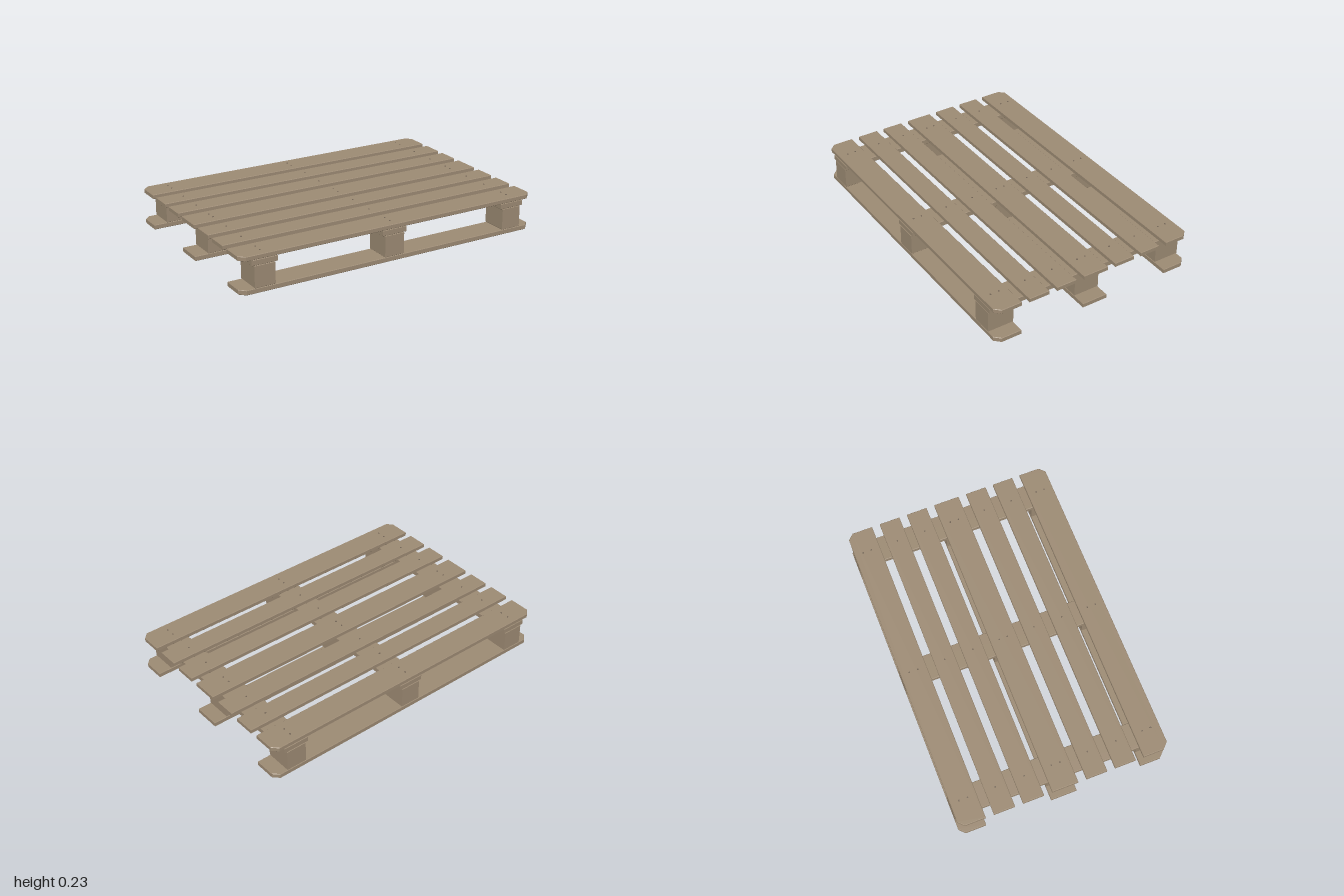
import * as THREE from 'three';

const wood = new THREE.MeshStandardMaterial({ color: 0x9c8a73 });
wood.name = 'wood';
const steel = new THREE.MeshStandardMaterial({ color: 0x77695a });
steel.name = 'nail steel';

const BEVEL = 0.003;

// Plank with eased edges; cut > 0 clips the two corners on the given z side.
function plank(name, w, y0, y1, d, x, z, cut = 0, side = 0) {
  const hx = w / 2 - BEVEL, hz = d / 2 - BEVEL;
  const front = side > 0 ? cut : 0, back = side < 0 ? cut : 0;
  // Shape y becomes -z once laid flat
  const pts = [];
  const corner = (sx, sy, c, flip) => {
    if (!c) return pts.push(new THREE.Vector2(sx * hx, sy * hz));
    const a = new THREE.Vector2(sx * (hx - c), sy * hz);
    const b = new THREE.Vector2(sx * hx, sy * (hz - c));
    pts.push(...(flip ? [b, a] : [a, b]));
  };
  corner(-1, -1, front, true);
  corner(1, -1, front, false);
  corner(1, 1, back, true);
  corner(-1, 1, back, false);
  const geo = new THREE.ExtrudeGeometry(new THREE.Shape(pts), {
    depth: y1 - y0 - 2 * BEVEL, bevelEnabled: true,
    bevelSize: BEVEL, bevelThickness: BEVEL, bevelSegments: 1,
  });
  geo.rotateX(-Math.PI / 2);
  const mesh = new THREE.Mesh(geo, wood);
  mesh.name = name;
  mesh.position.set(x, y0 + BEVEL, z);
  return mesh;
}

export function createModel() {
  const pallet = new THREE.Group();
  pallet.name = 'pallet';
  const columns = [-0.85, 0, 0.85];
  const rows = [-0.584, 0, 0.584];
  const nailGeo = new THREE.CylinderGeometry(0.005, 0.005, 0.006, 8);

  const nail = (x, y, z) => {
    const m = new THREE.Mesh(nailGeo, steel);
    m.name = 'nail';
    m.position.set(x, y, z);
    pallet.add(m);
  };

  // Wide boards above and below, with the blocks between
  for (const z of rows) {
    const side = Math.sign(z), cut = side ? 0.033 : 0;
    pallet.add(plank('bottomBoard', 2, 0.004, 0.034, 0.165, 0, z, cut, side));
    pallet.add(plank('wideDeckBoard', 2, 0.204, 0.232, 0.165, 0, z, cut, side));
    for (const x of columns) {
      pallet.add(plank('block', 0.13, 0.034, 0.169, 0.165, x, z));
      for (const dz of [-0.028, 0.026]) {
        nail(x, 0.232, z + dz);
        nail(x, 0.003, z + dz);
      }
    }
  }

  // Narrow deck boards
  for (const z of [-0.384, -0.201, 0.201, 0.384]) {
    pallet.add(plank('narrowDeckBoard', 2, 0.204, 0.232, 0.132, 0, z));
    for (const x of columns) nail(x, 0.232, z);
  }

  // Cross stringers under the deck
  for (const x of columns) {
    pallet.add(plank('stringer', 0.162, 0.169, 0.204, 1.333, x, 0));
  }
  return pallet;
}
